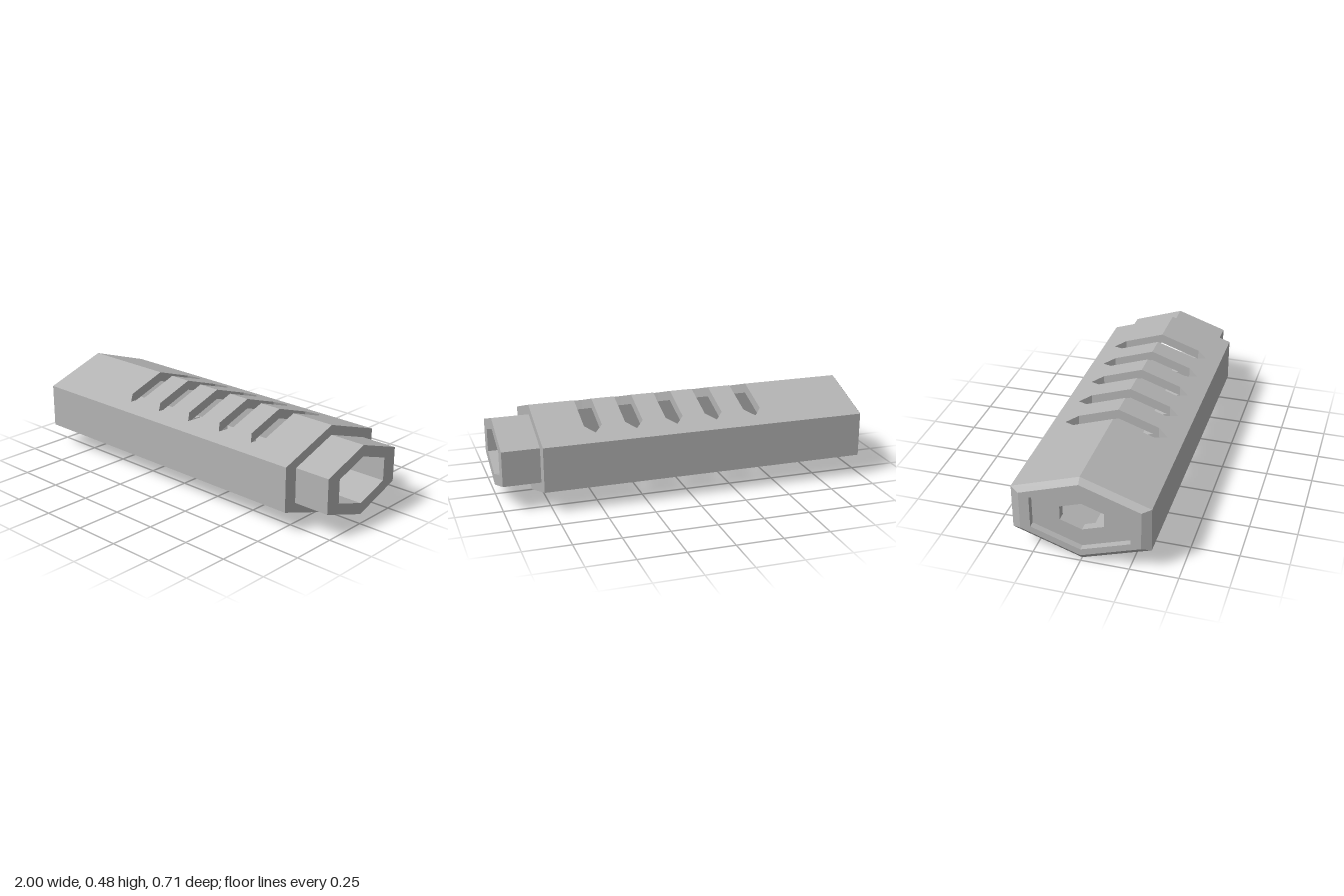
import * as THREE from 'three';

const H = 0.242, W = 0.357;          // half height at the ridge, half width
const S = 0.78;                      // chamber size relative to the outer hexagon
const X0 = -0.975, X1 = 0.8;         // ends of the slotted body
const SLOPE = H / 2 / W;
const HEX = [[1, 0], [0.5, 1], [-0.5, 1], [-1, 0], [-0.5, -1], [0.5, -1]];

// Surface through hexagons of given [x, scale] steps
function hexLoft(steps) {
  const pos = [];
  const at = ([x, s], i) => [x, HEX[i % 6][0] * H * s, HEX[i % 6][1] * W * s];
  for (let k = 0; k < steps.length - 1; k++) {
    for (let i = 0; i < 6; i++) {
      const a = at(steps[k], i), b = at(steps[k], i + 1);
      const c = at(steps[k + 1], i + 1), d = at(steps[k + 1], i);
      pos.push(...a, ...d, ...c, ...a, ...c, ...b);
    }
  }
  const geo = new THREE.BufferGeometry();
  geo.setAttribute('position', new THREE.Float32BufferAttribute(pos, 3));
  geo.computeVertexNormals();
  return geo;
}

// Sloping half roof with five pointed slots cut into its ridge edge
function slottedPanel(side) {
  const pts = [[X0, 0]];
  for (let i = 0; i < 5; i++) {
    const c = -0.385 + i * 0.2225, h = 0.048;
    pts.push([c - h, 0], [c - h, 0.22], [c, 0.2785], [c + h, 0.22], [c + h, 0]);
  }
  pts.push([X1, 0], [X1, W], [X0, W]);
  const shape = new THREE.Shape(pts.map(([x, z]) => new THREE.Vector2(x, z * side)));
  const geo = new THREE.ExtrudeGeometry(shape, { depth: H * (1 - S), bevelEnabled: false });
  geo.rotateX(Math.PI / 2);
  const p = geo.attributes.position;
  for (let i = 0; i < p.count; i++) {
    p.setY(i, p.getY(i) + H - SLOPE * Math.abs(p.getZ(i)));
  }
  geo.computeVertexNormals();
  return geo;
}

// Upright side wall fitted between the upper and lower panels
function sideWall() {
  const yi = H * S / 2, yo = H / 2 - H * (1 - S);
  const shape = new THREE.Shape([
    new THREE.Vector2(-W, -yo), new THREE.Vector2(-W * S, -yi),
    new THREE.Vector2(-W * S, yi), new THREE.Vector2(-W, yo),
  ]);
  const geo = new THREE.ExtrudeGeometry(shape, { depth: X1 - X0, bevelEnabled: false });
  geo.rotateY(Math.PI / 2);
  geo.translate(X0, 0, 0);
  return geo;
}

export function createModel() {
  const model = new THREE.Group();
  model.name = 'slottedHexTube';
  const metal = new THREE.MeshStandardMaterial({ color: 0xb4b4b4 });
  metal.name = 'grey metal';

  const add = (name, geo, turn = 0) => {
    const mesh = new THREE.Mesh(geo, metal);
    mesh.name = name;
    mesh.position.y = H;
    mesh.rotation.x = turn;
    model.add(mesh);
  };

  // Body: four slotted panels and two plain side walls
  for (const side of [1, -1]) {
    const panel = slottedPanel(side);
    add(side > 0 ? 'upperFrontPanel' : 'upperBackPanel', panel);
    add(side > 0 ? 'lowerBackPanel' : 'lowerFrontPanel', panel, Math.PI);
  }
  const wall = sideWall();
  add('frontWall', wall);
  add('backWall', wall, Math.PI);

  // Chamfered end with a recessed plate and small hexagonal hole
  add('chamferedEndCap', hexLoft([
    [X0, 1], [-1, 0.87], [-1, 0.72], [-0.965, 0.72],
    [-0.965, 0.318], [-0.92, 0.318], [-0.92, S],
  ]));

  // Narrower collar with a hexagonal bore
  add('collar', hexLoft([
    [0.76, S], [0.76, 0.527], [1, 0.527], [1, S], [X1, S],
  ]));
  return model;
}
